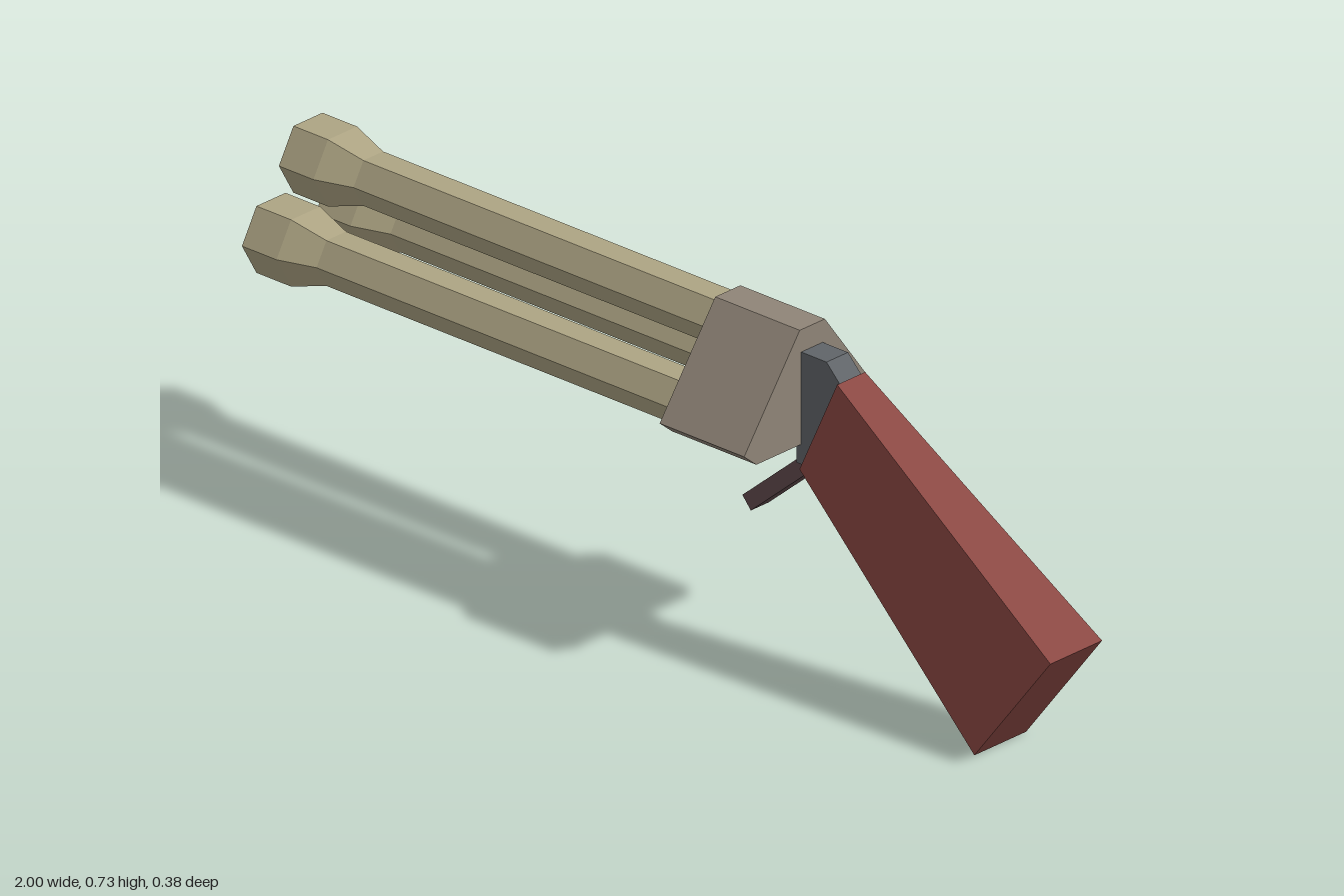
import * as THREE from 'three';

const material = (color) => new THREE.MeshStandardMaterial({ color, flatShading: true });

function extrude(points, depth) {
  const shape = new THREE.Shape(points.map(([x, y]) => new THREE.Vector2(x, y)));
  return new THREE.ExtrudeGeometry(shape, { depth, bevelEnabled: false });
}

export function createModel() {
  const model = new THREE.Group();
  const midZ = 0.003;
  const add = (name, geometry, mat, x = 0, y = 0, z = 0) => {
    const mesh = new THREE.Mesh(geometry, mat);
    mesh.name = name;
    mesh.position.set(x, y, z);
    model.add(mesh);
    return mesh;
  };

  // Three hexagonal barrels with flared, closed muzzles
  const profile = [[0, -0.12], [0.055, -0.12], [0.055, 0.83], [0.081, 0.91], [0.081, 1], [0, 1]]
    .map(([r, h]) => new THREE.Vector2(r, h));
  const barrel = new THREE.LatheGeometry(profile, 6).rotateZ(Math.PI / 2);
  const barrelMat = material(0xada483);
  add('topBarrel', barrel, barrelMat, 0, 0.664, midZ);
  add('leftBarrel', barrel, barrelMat, 0, 0.531, midZ - 0.103 + 0.206);
  add('rightBarrel', barrel, barrelMat, 0, 0.531, midZ - 0.103);

  // Receiver block holding the barrels
  const receiver = extrude([
    [-0.158, 0.482], [0.158, 0.482], [0.192, 0.51],
    [0.033, 0.723], [-0.037, 0.723], [-0.192, 0.51],
  ], 0.22).rotateY(Math.PI / 2);
  add('receiver', receiver, material(0x8f8477), 0.092);

  // Chamfered block joining receiver and stock
  const joint = extrude([
    [0.3, 0.44], [0.325, 0.44], [0.415, 0.638], [0.378, 0.676], [0.3, 0.676],
  ], 0.06);
  add('joint', joint, material(0x606468), 0, 0, midZ - 0.03);

  // Stock: a box whose corners are moved to a widening, drooping wedge
  const stock = new THREE.BoxGeometry(1, 1, 1);
  const p = stock.attributes.position;
  for (let i = 0; i < p.count; i++) {
    const butt = p.getX(i) > 0;
    const top = p.getY(i) > 0;
    const [x, y] = butt ? (top ? [1, 0.255] : [0.802, 0]) : (top ? [0.414, 0.643] : [0.316, 0.434]);
    p.setXYZ(i, x, y, Math.sign(p.getZ(i)) * (butt ? 0.072 : 0.039));
  }
  stock.computeVertexNormals();
  add('stock', stock, material(0x8a4843), 0, 0, midZ);

  // Slanted trigger lever
  const trigger = add('trigger', new THREE.BoxGeometry(0.22, 0.034, 0.05), material(0x604a4c), 0.249, 0.382, midZ);
  trigger.rotation.z = 0.705;

  return model;
}
